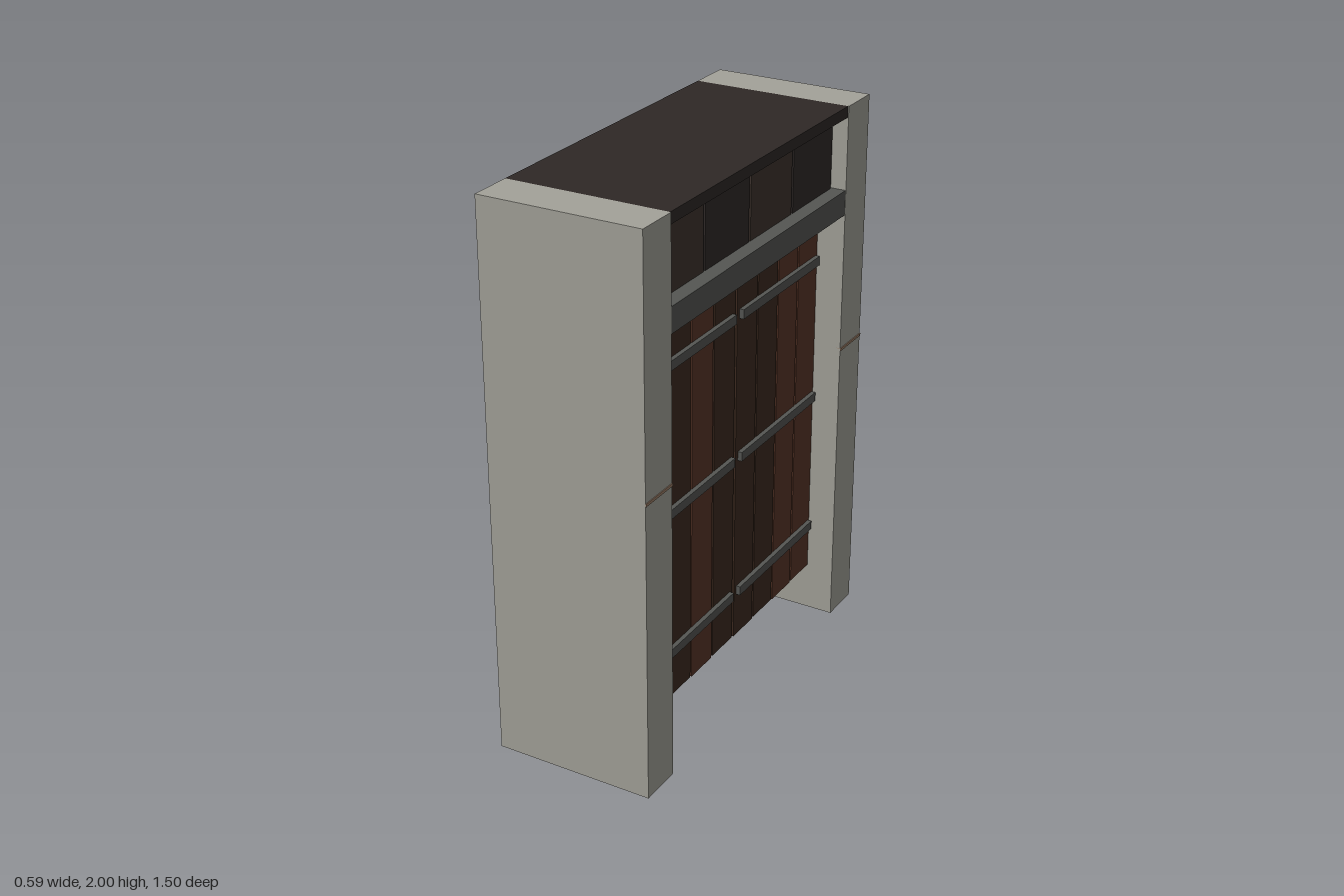
import * as THREE from 'three';

const mat = (color) => new THREE.MeshStandardMaterial({ color, flatShading: true });
const stone = mat(0xa3a299), roofDark = mat(0x2e2826), iron = mat(0x555653);
const redWood = mat(0x5a3628), darkWood = mat(0x3d2a20), backWood = mat(0x38241c), gapWood = mat(0x1c1310);
const panelA = mat(0x3e342e), panelB = mat(0x302a28), band = mat(0x9c7f68);

// Box given by its lower and upper limits on each axis
function block(parent, name, material, [x0, x1], [y0, y1], [z0, z1]) {
  const mesh = new THREE.Mesh(new THREE.BoxGeometry(x1 - x0, y1 - y0, z1 - z0), material);
  mesh.position.set((x0 + x1) / 2, (y0 + y1) / 2, (z0 + z1) / 2);
  mesh.name = name;
  parent.add(mesh);
  return mesh;
}

export function createModel() {
  const model = new THREE.Group();
  model.name = 'gateway';

  // Stone side posts with a thin inlaid band on the outer face
  for (const s of [1, -1]) {
    const z = s > 0 ? [0.59, 0.75] : [-0.75, -0.59];
    block(model, 'post', stone, [-0.295, 0.293], [0, 2], z);
    block(model, 'postBand', band, [0.28, 0.296], [1.095, 1.105], z);
  }

  // Roof slab, solid header under it and the iron lintel bar
  block(model, 'roofSlab', roofDark, [-0.295, 0.29], [1.96, 2], [-0.59, 0.59]);
  block(model, 'header', backWood, [-0.175, 0.22], [1.585, 1.96], [-0.59, 0.59]);
  block(model, 'lintelBar', iron, [0.22, 0.292], [1.61, 1.7], [-0.59, 0.59]);

  // Upper panels in alternating shades
  for (let i = 0; i < 4; i++) {
    const z = 0.59 - i * 0.295;
    block(model, 'upperPanel', i % 2 ? panelB : panelA, [0.22, 0.238], [1.7, 1.955], [z - 0.288, z - 0.004]);
  }

  // Two door leaves: backing board, planks and iron straps
  const shades = [[redWood, darkWood, redWood, darkWood], [darkWood, darkWood, redWood, redWood]];
  shades.forEach((leafShades, n) => {
    const leaf = new THREE.Group();
    leaf.name = n ? 'rightDoor' : 'leftDoor';
    const top = n ? -0.002 : 0.59;
    block(leaf, 'doorBack', backWood, [0.105, 0.14], [0.18, 1.585], [top - 0.588, top]);
    block(leaf, 'doorCore', gapWood, [0.14, 0.18], [0.185, 1.585], [top - 0.588, top]);
    leafShades.forEach((shade, i) => {
      const z = top - i * 0.147;
      block(leaf, 'plank', shade, [0.18, 0.192], [0.183 + 0.003 * (i % 2), 1.58], [z - 0.142, z - 0.004]);
    });
    for (const y of [0.35, 0.883, 1.412]) {
      block(leaf, 'strap', iron, [0.19, 0.208], [y, y + 0.034], n ? [-0.575, -0.022] : [0.025, 0.578]);
    }
    model.add(leaf);
  });

  return model;
}
